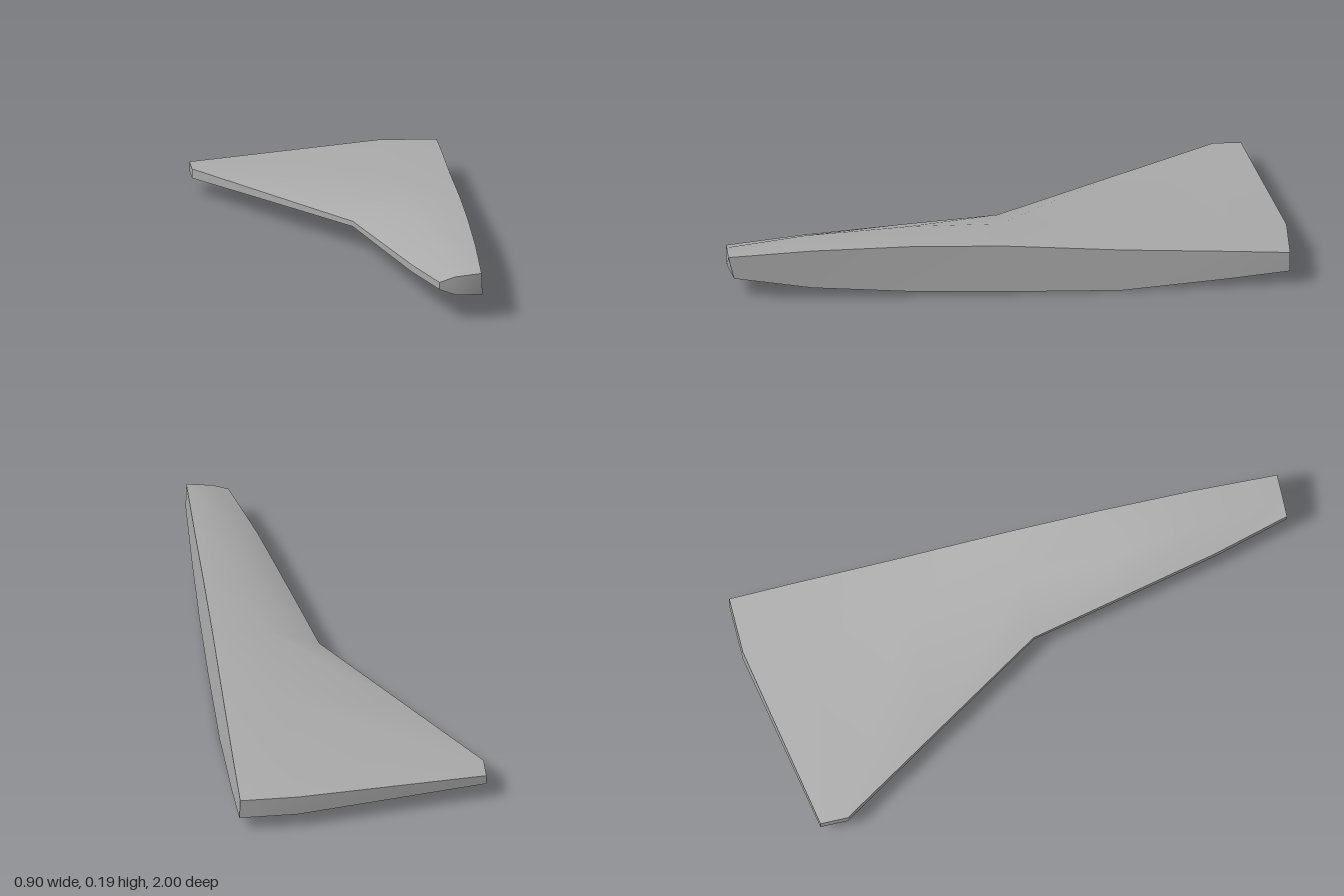
import * as THREE from 'three';
import { toCreasedNormals } from 'three/addons/utils/BufferGeometryUtils.js';

// Each section runs wall top, upper ridge, edge top, edge bottom, lower ridge, wall bottom.
// zs gives z at the wall top, ridges and outer edge, and wall bottom; p holds x, y pairs.
const SECTIONS = [
  { z: [1, 1, 0.98], p: [0.425, 0.168, 0.33, 0.157, 0.275, 0.138, 0.275, 0.112, 0.335, 0.09, 0.43, 0.085] },
  { z: [0.7, 0.72, 0.7], p: [0.43, 0.187, 0.3, 0.18, 0.2, 0.13, 0.2, 0.104, 0.31, 0.062, 0.437, 0.042] },
  { z: [0.35, 0.35, 0.35], p: [0.432, 0.194, 0.262, 0.184, 0.12, 0.118, 0.12, 0.095, 0.28, 0.047, 0.445, 0.02] },
  { z: [0.02, 0.02, 0.02], p: [0.433, 0.186, 0.24, 0.172, 0.05, 0.106, 0.05, 0.087, 0.25, 0.04, 0.449, 0.01] },
  { z: [-0.4, -0.4, -0.4], p: [0.435, 0.157, 0.23, 0.15, -0.215, 0.101, -0.215, 0.075, 0.24, 0.04, 0.45, 0.002] },
  { z: [-0.78, -0.78, -0.78], p: [0.437, 0.14, 0.23, 0.137, -0.455, 0.097, -0.455, 0.063, 0.24, 0.046, 0.446, 0.034] },
  { z: [-1, -0.88, -1], p: [0.437, 0.128, 0.23, 0.13, -0.455, 0.097, -0.455, 0.063, 0.23, 0.057, 0.44, 0.055] },
];

function sectionPoints({ z, p }, isTail) {
  const ridgeZ = isTail ? z[0] : z[1];
  const zs = [z[0], ridgeZ, z[1], z[1], ridgeZ, z[2]];
  return zs.map((zz, i) => [p[2 * i], p[2 * i + 1], zz]);
}

function wingGeometry() {
  const rings = SECTIONS.map((s, i) => sectionPoints(s, i === SECTIONS.length - 1));
  const pos = [];
  const quad = (a, b, c, d) => pos.push(...a, ...b, ...c, ...a, ...c, ...d);

  // Skin between neighbouring sections
  for (let s = 0; s < rings.length - 1; s++) {
    const a = rings[s], b = rings[s + 1];
    for (let i = 0; i < 6; i++) {
      const j = (i + 1) % 6;
      quad(a[i], b[i], b[j], a[j]);
    }
  }

  // Nose and trailing faces
  const f = rings[0], t = rings[rings.length - 1];
  quad(f[0], f[1], f[4], f[5]);
  quad(f[1], f[2], f[3], f[4]);
  quad(t[5], t[4], t[1], t[0]);
  quad(t[4], t[3], t[2], t[1]);

  const g = new THREE.BufferGeometry();
  g.setAttribute('position', new THREE.Float32BufferAttribute(pos, 3));
  return toCreasedNormals(g, 0.5);
}

export function createModel() {
  const group = new THREE.Group();
  group.name = 'wingHalf';
  const grey = new THREE.MeshStandardMaterial({ color: 0xaaaaaa });
  grey.name = 'grey';
  const wing = new THREE.Mesh(wingGeometry(), grey);
  wing.name = 'wing';
  group.add(wing);
  return group;
}
